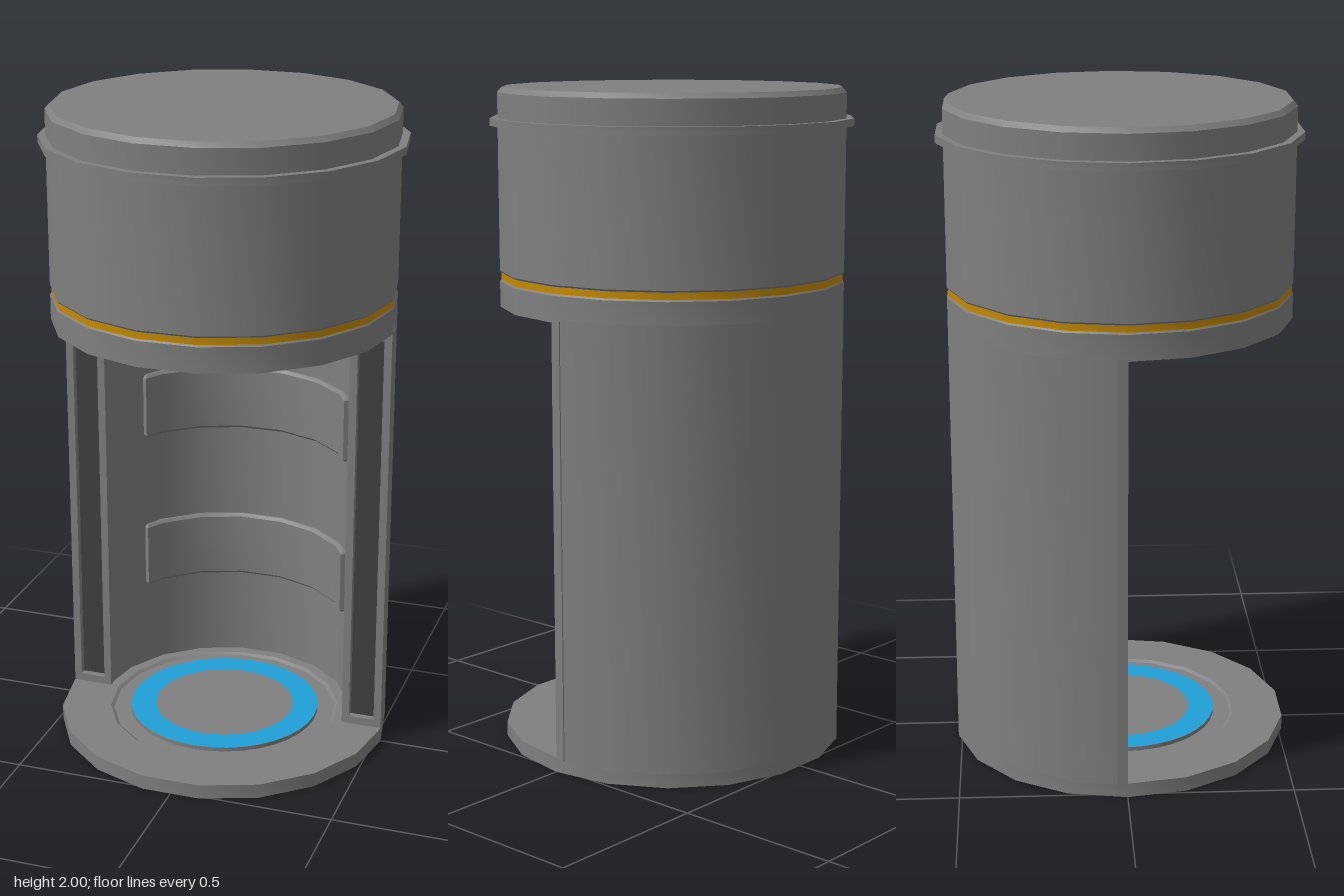
import * as THREE from 'three';
import { toCreasedNormals } from 'three/addons/utils/BufferGeometryUtils.js';

const SIDES = 18;
const mat = (name, color, extra = {}) => {
  const m = new THREE.MeshStandardMaterial({ color, ...extra });
  m.name = name;
  return m;
};

export function createModel() {
  const grey = mat('grey metal', 0x808080);
  const dark = mat('dark panel', 0x404040);
  const blue = mat('blue glow', 0x1fa0d8);
  const amber = mat('amber band', 0xc48a00);
  const light = mat('light grey', 0xb0b0b0);

  const model = new THREE.Group();
  model.name = 'pod';
  const add = (name, geo, material, parent = model) => {
    const mesh = new THREE.Mesh(geo, material);
    mesh.name = name;
    parent.add(mesh);
    return mesh;
  };
  // Revolved profile with a corner on the x axis; points are [radius, height]
  const turned = (pts, sides = SIDES) => toCreasedNormals(
    new THREE.LatheGeometry(pts.map(p => new THREE.Vector2(...p)), sides, Math.PI / 2), 0.6);
  // Flat ring facing up or down
  const flatRing = (inner, outer, y, up, sides) => {
    const g = new THREE.RingGeometry(inner, outer, sides);
    g.rotateX(up ? -Math.PI / 2 : Math.PI / 2);
    return g.translate(0, y, 0);
  };
  // Plan outline (x, -z) extruded upwards
  const upright = (pts, y0, y1, bevel = 0) => {
    const g = new THREE.ExtrudeGeometry(new THREE.Shape(pts), {
      depth: y1 - y0 - 2 * bevel, bevelEnabled: bevel > 0, bevelSize: bevel,
      bevelThickness: bevel, bevelOffset: -bevel, bevelSegments: 1,
    });
    g.rotateX(-Math.PI / 2);
    g.translate(0, y0 + bevel, 0);
    return toCreasedNormals(g, 0.6);
  };
  const polar = (r, deg) => new THREE.Vector2(
    r * Math.cos(deg * Math.PI / 180), r * Math.sin(deg * Math.PI / 180));

  // Base with a shallow circular recess
  add('base', turned([[0, 0], [0.52, 0], [0.52, 0.045], [0.365, 0.045], [0.355, 0.038], [0, 0.038]]), grey);
  add('floorPad', turned([[0.3, 0.038], [0.3, 0.051], [0, 0.051]], 36), grey);
  add('floorGlowRing', flatRing(0.22, 0.3, 0.053, true, 36), blue);

  // Half-round back wall
  const outer = [new THREE.Vector2(0.515, 0.03)];
  const inner = [new THREE.Vector2(0.393, 0.03)];
  for (let a = 20; a < 180; a += 20) {
    outer.push(polar(0.52, a));
    inner.push(polar(0.398, a));
  }
  outer.push(new THREE.Vector2(-0.515, 0.03));
  inner.push(new THREE.Vector2(-0.393, 0.03));
  add('backWall', upright([...outer, ...inner.reverse()], 0.04, 1.36), grey);

  // Framed recesses on the two front ends of the wall
  const rect = (S, x0, x1, y0, y1) => {
    const s = new S();
    s.moveTo(x0, y0);
    s.lineTo(x1, y0);
    s.lineTo(x1, y1);
    s.lineTo(x0, y1);
    s.closePath();
    return s;
  };
  for (const [side, s] of [['left', 1], ['right', -1]]) {
    const frame = rect(THREE.Shape, -0.0635, 0.0635, 0.04, 1.355);
    frame.holes.push(rect(THREE.Path, -0.04, 0.04, 0.07, 1.325));
    const g = new THREE.ExtrudeGeometry(frame, { depth: 0.03, bevelEnabled: false });
    add(side + 'Frame', g, grey).position.set(s * 0.4555, 0, -0.03);
    add(side + 'DarkPanel', new THREE.BoxGeometry(0.082, 1.257, 0.008), dark)
      .position.set(s * 0.4555, 0.6975, -0.026);
  }

  // Two raised curved panels inside
  const arc = [30, 40, 60, 80, 100, 120, 140, 150];
  // Ends lie mid-facet, so their radius is shortened to the facet
  const facet = (r, a) => polar(a % 20 ? r * Math.cos(Math.PI / SIDES) : r, a);
  const panel = [...arc.map(a => facet(0.41, a)), ...arc.slice().reverse().map(a => facet(0.383, a))];
  add('lowerWallPanel', upright(panel, 0.33, 0.545, 0.009), grey);
  add('upperWallPanel', upright(panel, 0.85, 1.063, 0.009), grey);

  // Ceiling slab, recessed underneath
  add('ceiling', turned([[0, 1.4], [0.46, 1.4], [0.46, 1.35], [0.52, 1.35], [0.52, 1.427],
    [0.514, 1.435], [0, 1.435]]), grey);
  add('ceilingGlow', flatRing(0.1, 0.46, 1.395, false, 36), blue);
  add('ceilingHub', turned([[0, 1.335], [0.125, 1.335], [0.15, 1.35], [0.15, 1.4]]), grey);
  const spokes = new THREE.Group();
  spokes.name = 'ceilingSpokes';
  model.add(spokes);
  for (let i = 0; i < SIDES; i++) {
    const a = (i + 0.5) * 2 * Math.PI / SIDES;
    const spoke = add('spoke', new THREE.BoxGeometry(0.32, 0.036, 0.05), light, spokes);
    spoke.position.set(0.3 * Math.cos(a), 1.378, -0.3 * Math.sin(a));
    spoke.rotation.y = a;
  }

  // Amber band and upper drum
  add('amberBand', turned([[0.516, 1.43], [0.516, 1.455]]), amber);
  add('upperDrum', turned([[0, 1.45], [0.514, 1.45], [0.52, 1.458], [0.52, 1.985],
    [0.507, 2], [0, 2]]), grey);
  add('topRim', turned([[0.51, 1.887], [0.543, 1.887], [0.543, 1.91], [0.51, 1.91]]), grey);

  return model;
}
